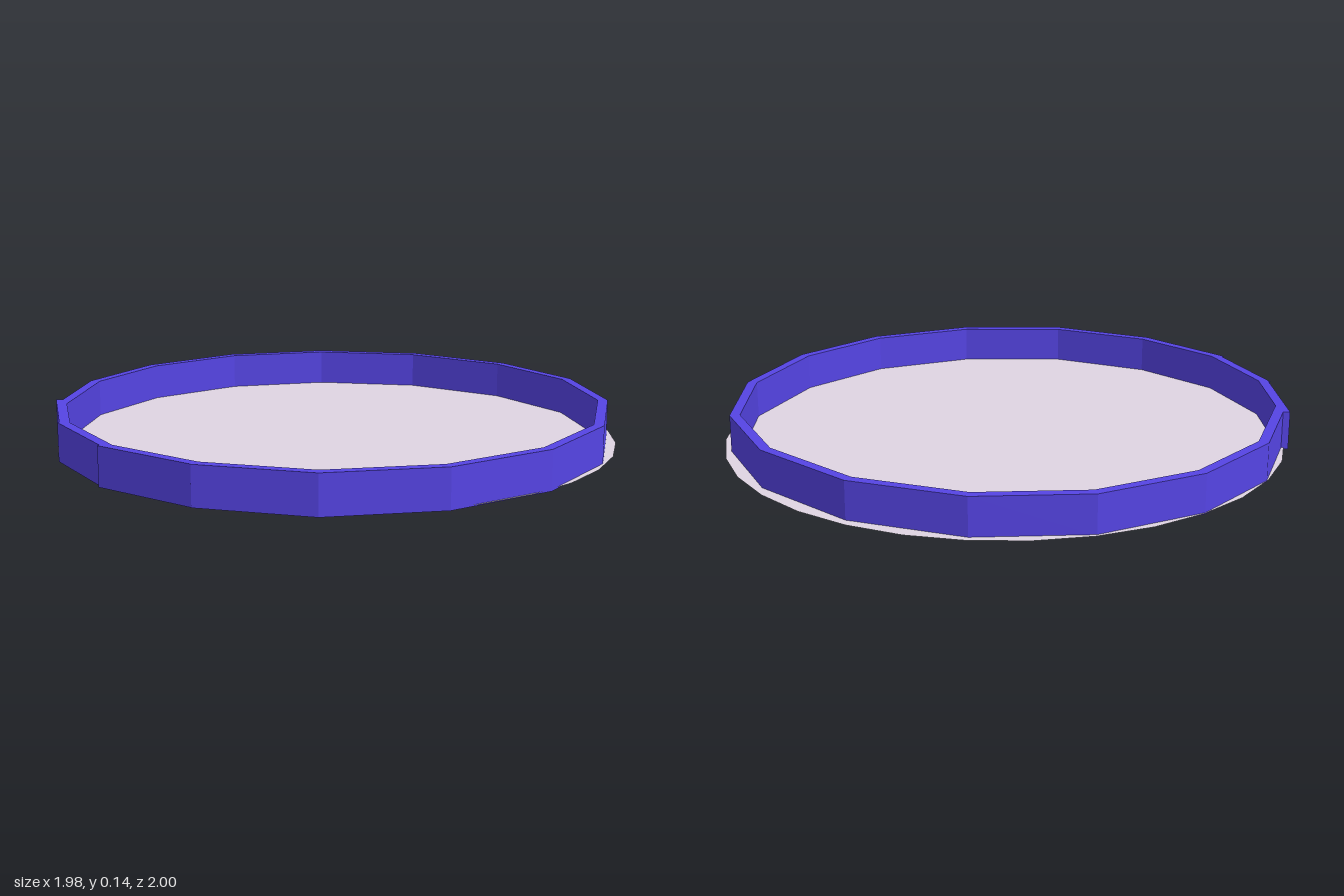
import * as THREE from 'three';

const HEIGHT = 0.135;
const THICK = 0.035;
const FLOOR_Y = 0.005;

// Outer corners of the rim as [x, z], going round from the back
const CORNERS = [
  [-0.19, -0.957], [0.21, -0.945], [0.577, -0.775], [0.838, -0.49],
  [0.962, -0.115], [0.932, 0.285], [0.76, 0.628], [0.46, 0.88],
  [0.08, 1.0], [-0.305, 0.953], [-0.63, 0.78], [-0.862, 0.495],
  [-0.968, 0.2], [-0.967, -0.21], [-0.825, -0.55], [-0.55, -0.82],
].map(([x, z]) => new THREE.Vector2(x, z));

// Mitred inset of a closed outline
function inset(points, d) {
  const n = points.length;
  const normal = (a, b) => {
    const t = b.clone().sub(a).normalize();
    return new THREE.Vector2(-t.y, t.x);
  };
  return points.map((p, i) => {
    const n1 = normal(points[(i + n - 1) % n], p);
    const n2 = normal(p, points[(i + 1) % n]);
    return p.clone().addScaledVector(n1.clone().add(n2), d / (1 + n1.dot(n2)));
  });
}

export function createModel() {
  const group = new THREE.Group();
  const rimMaterial = new THREE.MeshStandardMaterial({ color: 0x5544e4, flatShading: true });
  const floorMaterial = new THREE.MeshStandardMaterial({ color: 0xdfd5e3, side: THREE.DoubleSide });

  // Thin round floor
  const disc = new THREE.CircleGeometry(0.99, 32);
  disc.rotateX(-Math.PI / 2);
  const floor = new THREE.Mesh(disc, floorMaterial);
  floor.name = 'floor';
  floor.position.set(0, FLOOR_Y, -0.01);
  group.add(floor);

  // Upright rim of flat panels; the hole runs opposite to the outline so its walls face inwards
  const flip = (p) => new THREE.Vector2(p.x, -p.y);
  const outline = new THREE.Shape(CORNERS.map(flip));
  outline.holes.push(new THREE.Path(inset(CORNERS, THICK).map(flip).reverse()));
  const wall = new THREE.ExtrudeGeometry(outline, { depth: HEIGHT, bevelEnabled: false });
  wall.rotateX(-Math.PI / 2);
  const rim = new THREE.Mesh(wall, rimMaterial);
  rim.name = 'rim';
  group.add(rim);

  // Panel ends that run on past their corner: [corner index, overrun]
  for (const [i, overrun] of [[9, 0.006], [10, 0.024], [11, 0.02], [12, 0.068]]) {
    const dir = CORNERS[i].clone().sub(CORNERS[i - 1]).normalize();
    const centre = CORNERS[i].clone()
      .addScaledVector(dir, overrun / 2)
      .addScaledVector(new THREE.Vector2(-dir.y, dir.x), THICK / 2);
    const end = new THREE.Mesh(new THREE.BoxGeometry(overrun, HEIGHT, THICK), rimMaterial);
    end.name = 'panelEnd';
    end.position.set(centre.x, HEIGHT / 2, centre.y);
    end.rotation.y = -Math.atan2(dir.y, dir.x);
    group.add(end);
  }

  return group;
}
